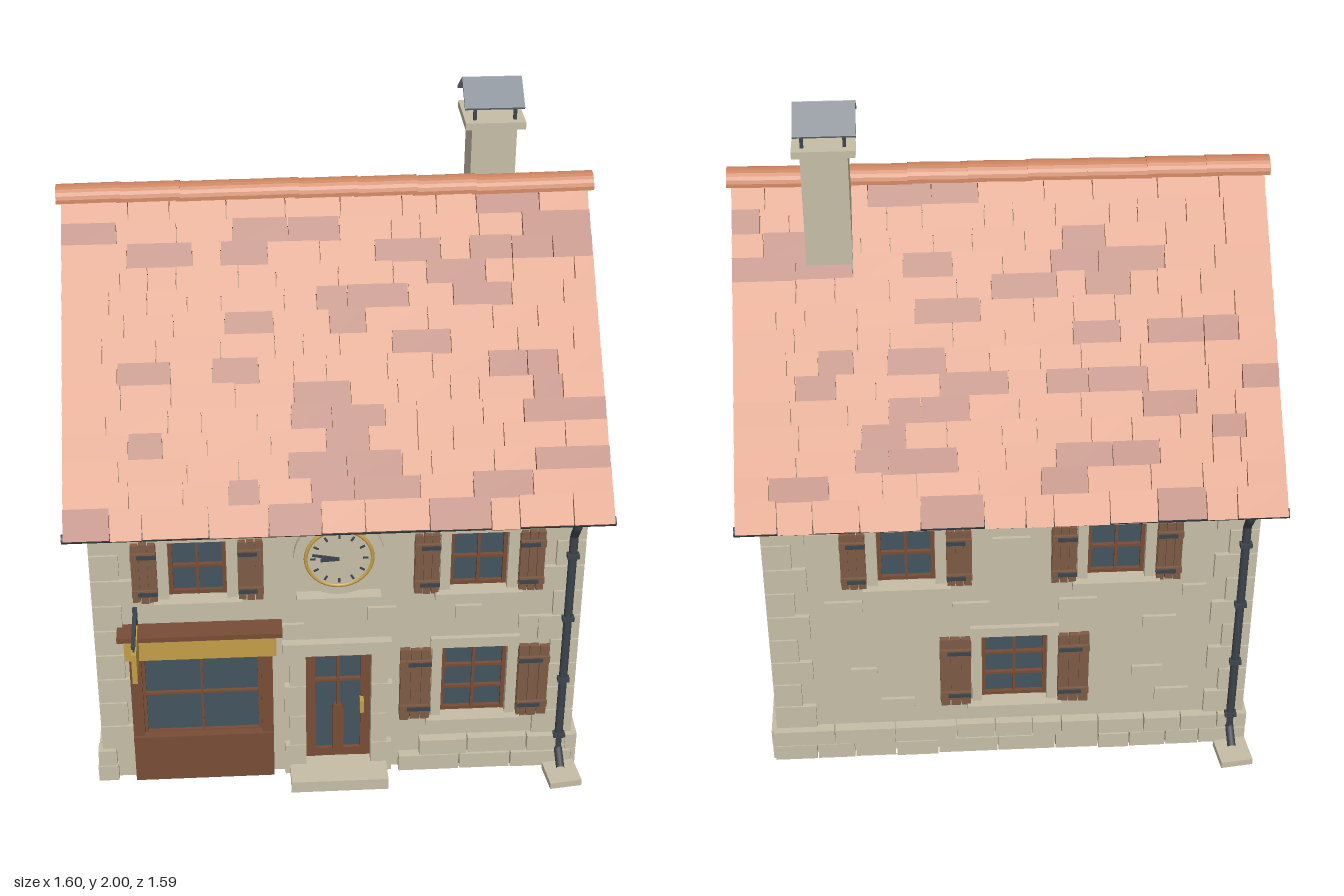
import * as THREE from 'three';
import { mergeGeometries } from 'three/addons/utils/BufferGeometryUtils.js';

const colours = {
  stone: 0xc6bda6, tile: 0xcb8460, darkTile: 0xa3604a, shutterWood: 0x7d5a44, frameWood: 0x774c36,
  timber: 0x9c7046, glass: 0x42545e, gold: 0xc39c48, darkMetal: 0x3c444c, zinc: 0x848a92
};
const M = {};
for (const [name, color] of Object.entries(colours)) {
  M[name] = new THREE.MeshStandardMaterial({ color });
  M[name].name = name;
}

let seed = 7;
const rand = (a, b) => {
  seed = (seed * 16807) % 2147483647;
  return a + (b - a) * (seed / 2147483647);
};

function add(parent, name, mat, geo, x = 0, y = 0, z = 0) {
  const mesh = new THREE.Mesh(geo, mat);
  mesh.name = name;
  mesh.position.set(x, y, z);
  parent.add(mesh);
  return mesh;
}
const box = (parent, name, mat, w, h, d, x, y, z) =>
  add(parent, name, mat, new THREE.BoxGeometry(w, h, d), x, y, z);

function group(parent, name, x = 0, y = 0, z = 0, ry = 0) {
  const g = new THREE.Group();
  g.name = name;
  g.position.set(x, y, z);
  g.rotation.y = ry;
  parent.add(g);
  return g;
}

// Wall with rectangular openings [x, y, w, h]; its outer face is local z = 0
function wall(g, outline, openings) {
  const shape = new THREE.Shape(outline.map(p => new THREE.Vector2(...p)));
  for (const [x, y, w, h] of openings) {
    const a = x - w / 2, b = x + w / 2, c = y - h / 2, d = y + h / 2;
    shape.holes.push(new THREE.Path([[a, c], [a, d], [b, d], [b, c]].map(p => new THREE.Vector2(...p))));
  }
  const geo = new THREE.ExtrudeGeometry(shape, { depth: 0.05, bevelEnabled: false });
  add(g, 'wall', M.stone, geo, 0, 0, -0.05);
}

// Glass with a wooden frame and glazing bars
function glazing(g, w, h, cols, rows, z, bar = 0.012) {
  box(g, 'glass', M.glass, w, h, 0.01, 0, 0, z - 0.01);
  for (let i = 0; i <= cols; i++) {
    const t = i % cols ? bar * 0.7 : bar;
    box(g, 'uprightBar', M.frameWood, t, h, 0.016, (i / cols - 0.5) * (w - bar), 0, z);
  }
  for (let i = 0; i <= rows; i++) {
    const t = i % rows ? bar * 0.7 : bar;
    box(g, 'crossBar', M.frameWood, w, t, 0.014, 0, (i / rows - 0.5) * (h - bar), z);
  }
}

function windowUnit(parent, [x, y, w, h], shutterW, rows = 2) {
  const g = group(parent, 'window', x, y, 0);
  glazing(g, w, h, 2, rows, -0.018);
  box(g, 'lintel', M.stone, w + 0.07, 0.035, 0.03, 0, h / 2 + 0.0175, 0);
  box(g, 'sill', M.stone, w + 0.09, 0.022, 0.06, 0, -h / 2 - 0.011, 0.01);
  for (const s of [-1, 1]) {
    box(g, 'jamb', M.stone, 0.03, h, 0.03, s * (w / 2 + 0.015), 0, 0);
    if (!shutterW) continue;
    const sh = group(g, 'shutter', s * (w / 2 + 0.033 + shutterW / 2), 0, 0.018);
    for (let i = -1; i <= 1; i++)
      box(sh, 'plank', M.shutterWood, shutterW / 3 - 0.003, h + rand(0, 0.012), 0.016, i * shutterW / 3, 0, 0);
    box(sh, 'backing', M.shutterWood, shutterW, h - 0.02, 0.01, 0, 0, -0.005);
    for (const v of [-1, 1]) {
      box(sh, 'batten', M.shutterWood, shutterW, 0.022, 0.01, 0, v * h * 0.33, 0.011);
      box(sh, 'hinge', M.darkMetal, shutterW * 0.75, 0.012, 0.006, -s * shutterW * 0.12, v * h * 0.33, 0.018);
    }
  }
}

// Two courses of rough base stones, leaving out one stretch if given
function plinth(g, half, gap = [9, 9]) {
  for (let row = 0; row < 2; row++) {
    let x = -half - 0.025;
    while (x < half + 0.02) {
      const w = Math.min(rand(0.09, 0.2), half + 0.025 - x), c = x + w / 2;
      if (c + w / 2 < gap[0] || c - w / 2 > gap[1] || gap[0] > 5)
        box(g, 'baseStone', M.stone, w - 0.004, 0.056, rand(0.05, 0.065), c, 0.03 + row * 0.06, 0);
      x += w;
    }
  }
}
function accents(g, list) {
  for (const [x, y] of list) box(g, 'wallStone', M.stone, rand(0.07, 0.115), rand(0.038, 0.05), 0.02, x, y, 0);
}

function shopFront(parent) {
  const g = group(parent, 'shopFront', -0.415, 0, 0);
  box(g, 'lowerPanel', M.frameWood, 0.43, 0.17, 0.04, 0, 0.085, 0.005);
  box(g, 'panelRail', M.frameWood, 0.43, 0.016, 0.055, 0, 0.17, 0.008);
  for (const s of [-1, 1]) box(g, 'post', M.frameWood, 0.035, 0.31, 0.04, s * 0.1975, 0.325, 0.005);
  glazing(group(g, 'shopWindow', 0, 0.325, 0), 0.36, 0.31, 2, 2, 0, 0.01);
  box(g, 'signBoard', M.gold, 0.455, 0.095, 0.045, 0, 0.523, 0.012);
  box(g, 'cornice', M.frameWood, 0.49, 0.016, 0.085, 0, 0.58, 0.03);
  const h = group(parent, 'hangingSign', -0.605, 0, 0);
  box(h, 'bracketArm', M.darkMetal, 0.012, 0.012, 0.18, 0, 0.637, 0.09);
  box(h, 'bracketPlate', M.darkMetal, 0.014, 0.08, 0.012, 0, 0.61, 0.006);
  box(h, 'brace', M.darkMetal, 0.008, 0.008, 0.09, 0, 0.615, 0.045).rotation.x = -0.5;
  box(h, 'board', M.gold, 0.015, 0.105, 0.145, 0, 0.557, 0.105);
  for (const z of [0.05, 0.16]) box(h, 'hanger', M.darkMetal, 0.006, 0.03, 0.006, 0, 0.62, z);
}

function door(parent) {
  const g = group(parent, 'door');
  glazing(group(g, 'doorLeaf', 0, 0.25, 0), 0.2, 0.42, 1, 1, -0.018, 0.03);
  box(g, 'middleRail', M.frameWood, 0.15, 0.009, 0.014, 0, 0.34, -0.017);
  box(g, 'middleBar', M.frameWood, 0.01, 0.2, 0.014, 0, 0.335, -0.017);
  box(g, 'centrePanel', M.frameWood, 0.034, 0.17, 0.022, 0, 0.145, -0.016);
  add(g, 'panelTop', M.frameWood, new THREE.CylinderGeometry(0.017, 0.017, 0.022, 12).rotateX(Math.PI / 2), 0, 0.23, -0.016);
  box(g, 'handle', M.gold, 0.012, 0.045, 0.03, 0.073, 0.25, 0);
  box(g, 'lintel', M.stone, 0.33, 0.045, 0.045, -0.005, 0.485, 0.005);
  for (const s of [-1, 1]) for (let i = 0; i < 4; i++) {
    const w = i % 2 ? 0.05 : 0.065;
    box(g, 'jambStone', M.stone, w, 0.112, 0.045, s * (0.1 + w / 2), 0.06 + i * 0.115, 0.003);
  }
  box(g, 'doorstep', M.stone, 0.3, 0.04, 0.13, 0, 0.02, 0.045);
}

function clock(parent) {
  const g = group(parent, 'clock', 0, 0.82, 0);
  const disc = (r, d) => new THREE.CylinderGeometry(r, r, d, 32).rotateX(Math.PI / 2);
  add(g, 'stoneRing', M.stone, disc(0.133, 0.04));
  add(g, 'dial', M.stone, disc(0.1, 0.01), 0, 0, 0.021);
  add(g, 'goldRim', M.gold, new THREE.TorusGeometry(0.098, 0.006, 8, 32), 0, 0, 0.024);
  for (let i = 0; i < 12; i++) {
    const a = i * Math.PI / 6;
    box(g, 'hourMark', M.darkMetal, 0.016, 0.006, 0.005, Math.cos(a) * 0.078, Math.sin(a) * 0.078, 0.026).rotation.z = a;
  }
  for (const [len, a, t] of [[0.08, 2.95, 0.007], [0.055, 3.2, 0.011]])
    box(g, 'hand', M.darkMetal, len, t, 0.005, Math.cos(a) * len / 2, Math.sin(a) * len / 2, 0.029).rotation.z = a;
  box(parent, 'clockLedge', M.stone, 0.25, 0.018, 0.05, 0, 0.677, 0.015);
}

// One roof slope; local z runs down from the ridge
function roofSlope(parent, ry) {
  const turn = group(parent, 'roofSlope', 0, 1.655, -0.03, ry), g = group(turn, 'roofPlane');
  g.rotation.x = THREE.MathUtils.degToRad(44);
  box(g, 'roofDeck', M.timber, 1.56, 0.022, 0.99, 0, -0.011, 0.495);
  for (const s of [-1, 1]) box(g, 'bargeBoard', M.timber, 0.03, 0.05, 0.975, s * 0.765, -0.027, 0.488);
  for (let i = 0; i < 12; i++) box(g, 'rafterTail', M.timber, 0.028, 0.03, 0.12, -0.68 + i * 0.1236, -0.035, 0.9);
  const sets = { tile: [], darkTile: [] }, rows = 14, step = 1.012 / rows;
  for (let r = 0; r < rows; r++) {
    let x = -0.79;
    while (x < 0.785) {
      let w = rand(0.08, 0.2);
      if (x + w > 0.73) w = 0.79 - x;
      const geo = new THREE.BoxGeometry(w - 0.003, 0.015, step + 0.02).rotateX(0.12 + rand(-0.02, 0.02));
      geo.translate(x + w / 2, 0.011 + rand(-0.002, 0.002), (r + 0.5) * step - 0.008 + rand(-0.004, 0.004));
      sets[rand(0, 1) < 0.23 ? 'darkTile' : 'tile'].push(geo);
      x += w;
    }
  }
  for (const k in sets) add(g, k === 'tile' ? 'roofTiles' : 'darkRoofTiles', M[k], mergeGeometries(sets[k]));

  // Gutter, downpipe and splash stone
  const gutter = new THREE.CylinderGeometry(0.015, 0.015, 1.59, 10).rotateZ(Math.PI / 2);
  add(turn, 'gutter', M.darkMetal, gutter, 0, -0.702, 0.71);
  const path = new THREE.CurvePath();
  const pts = [[0.95, 0.705], [0.93, 0.7], [0.87, 0.655], [0.07, 0.655], [0.035, 0.72]].map(
    ([y, z]) => new THREE.Vector3(0.69, y - 1.655, z));
  for (let i = 1; i < pts.length; i++) path.add(new THREE.LineCurve3(pts[i - 1], pts[i]));
  add(turn, 'downpipe', M.darkMetal, new THREE.TubeGeometry(path, 48, 0.013, 8));
  for (const y of [0.8, 0.57, 0.34, 0.12]) box(turn, 'pipeBracket', M.darkMetal, 0.036, 0.014, 0.04, 0.69, y - 1.655, 0.65);
  box(turn, 'splashStone', M.stone, 0.1, 0.022, 0.1, 0.695, 0.011 - 1.655, 0.72).rotation.y = 0.12;
}

function chimney(parent) {
  const g = group(parent, 'chimney', 0.505, 0, -0.14);
  box(g, 'stack', M.stone, 0.135, 0.5, 0.14, 0, 1.63, 0);
  box(g, 'crown', M.stone, 0.18, 0.022, 0.19, 0, 1.88, 0);
  for (const x of [-1, 1]) for (const z of [-1, 1])
    box(g, 'cowlPost', M.darkMetal, 0.01, 0.06, 0.01, x * 0.06, 1.915, z * 0.065);
  for (const s of [-1, 1])
    box(g, 'cowlRoof', M.zinc, 0.178, 0.008, 0.112, -0.005, 1.966, s * 0.046).rotation.x = s * 0.6;
}

export function createModel() {
  const house = new THREE.Group();
  house.name = 'house';
  const W = 0.715, D = 0.635, zMid = -0.03;
  const eaves = half => [[-half, 0], [half, 0], [half, 0.985], [-half, 0.985]];
  const gable = [[-D, 0], [D, 0], [D, 0.99], [0, 1.61], [-D, 0.99]];
  const upper = (x, y = 0.785) => [x, y, 0.17, 0.2], lower = x => [x, 0.337, 0.2, 0.26];

  // Front
  const front = group(house, 'front', 0, 0, zMid + D, 0);
  const fw = [upper(-0.415), upper(0.415), lower(0.415)];
  wall(front, eaves(W), [...fw, [0, 0.25, 0.2, 0.42], [-0.415, 0.325, 0.36, 0.31]]);
  fw.forEach((o, i) => windowUnit(front, o, i < 2 ? 0.075 : 0.095, i < 2 ? 2 : 3));
  shopFront(front);
  door(front);
  clock(front);
  plinth(front, W, [-0.63, 0.15]);
  accents(front, [[0.39, 0.595], [-0.14, 0.55], [0.13, 0.6], [0.6, 0.55]]);

  // Back
  const back = group(house, 'back', 0, 0, zMid - D, Math.PI);
  const bw = [upper(-0.31), upper(0.31), lower(0.01)];
  wall(back, eaves(W), bw);
  bw.forEach((o, i) => windowUnit(back, o, i < 2 ? 0.075 : 0.095, i < 2 ? 2 : 3));
  plinth(back, W);
  accents(back, [[-0.55, 0.86], [0, 0.82], [-0.5, 0.6], [-0.12, 0.58], [0.2, 0.58], [0.45, 0.5],
    [-0.45, 0.33], [0.42, 0.3], [0.5, 0.2], [-0.35, 0.2], [0.55, 0.62]]);

  // Gable ends
  const right = group(house, 'rightGable', W, 0, zMid, Math.PI / 2);
  const rw = [upper(0), lower(0)];
  wall(right, gable, rw);
  rw.forEach((o, i) => windowUnit(right, o, i ? 0.095 : 0.075, i ? 3 : 2));
  plinth(right, D);
  accents(right, [[-0.07, 1.45], [-0.32, 1.23], [-0.06, 1.23], [-0.04, 1.125], [0.18, 1.125],
    [-0.35, 1.02], [-0.41, 0.595], [0.22, 0.595], [-0.4, 0.27]]);

  const left = group(house, 'leftGable', -W, 0, zMid, -Math.PI / 2);
  const lw = [[0, 1.09, 0.12, 0.19], lower(0)];
  wall(left, gable, lw);
  windowUnit(left, lw[0], 0);
  windowUnit(left, lw[1], 0.095, 3);
  plinth(left, D);
  accents(left, [[-0.25, 1.07], [-0.2, 0.92], [0.2, 0.95], [0.1, 0.82], [-0.1, 0.78], [0.27, 0.78],
    [-0.3, 0.65], [0.05, 0.62], [0.38, 0.5], [-0.4, 0.4], [0.05, 1.4]]);

  // Corner stones, alternating long and short
  for (const sx of [-1, 1]) for (const sz of [-1, 1]) for (let i = 0; i < 9; i++) {
    const long = i % 2, w = long ? 0.085 : 0.125, d = long ? 0.14 : 0.085;
    box(house, 'cornerStone', M.stone, w, 0.086, d,
      sx * (W + 0.014 - w / 2), 0.165 + i * 0.091, zMid + sz * (D + 0.014 - d / 2));
  }

  // Roof
  roofSlope(house, 0);
  roofSlope(house, Math.PI);
  const arc = new THREE.Shape().absarc(0, 0, 0.043, 0, Math.PI);
  for (let i = 0; i < 9; i++) {
    const geo = new THREE.ExtrudeGeometry(arc, { depth: 0.19, bevelEnabled: false, curveSegments: 6 });
    geo.rotateY(Math.PI / 2);
    const cap = add(house, 'ridgeTile', M.tile, geo, -0.8 + i * 0.1762, 1.69 + rand(0, 0.003), -0.025);
    cap.rotation.z = 0.015;
  }
  chimney(house);
  return house;
}
